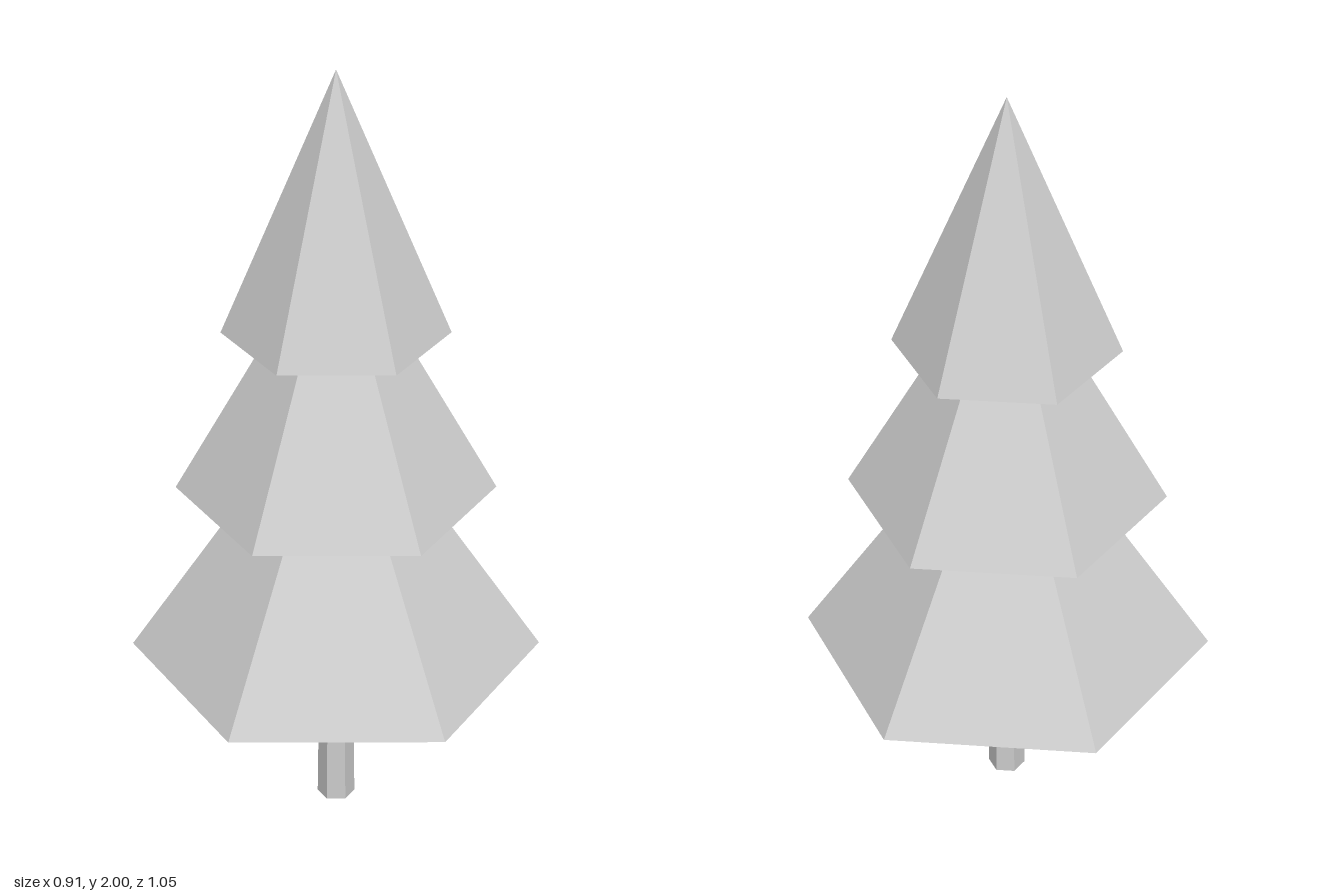
import * as THREE from 'three';

export function createModel() {
  const tree = new THREE.Group();
  tree.name = 'pineTree';
  const lightGrey = new THREE.MeshStandardMaterial({ color: 0xcccccc });
  lightGrey.name = 'lightGrey';

  // Six-sided flat-faced frustum standing between two heights
  const addTier = (name, rTop, rBottom, y0, y1) => {
    const geometry = new THREE.CylinderGeometry(rTop, rBottom, y1 - y0, 6).toNonIndexed();
    geometry.computeVertexNormals();
    const mesh = new THREE.Mesh(geometry, lightGrey);
    mesh.name = name;
    mesh.position.y = (y0 + y1) / 2;
    tree.add(mesh);
  };

  // Slim tapered trunk
  addTier('trunk', 0.042, 0.049, 0, 0.47);

  // Three overlapping cones of foliage, each tip hidden in the one above
  addTier('lowerFoliage', 0, 0.524, 0.46, 1.23);
  addTier('middleFoliage', 0, 0.4, 0.917, 1.62);
  addTier('topFoliage', 0, 0.279, 1.34, 2);

  return tree;
}
